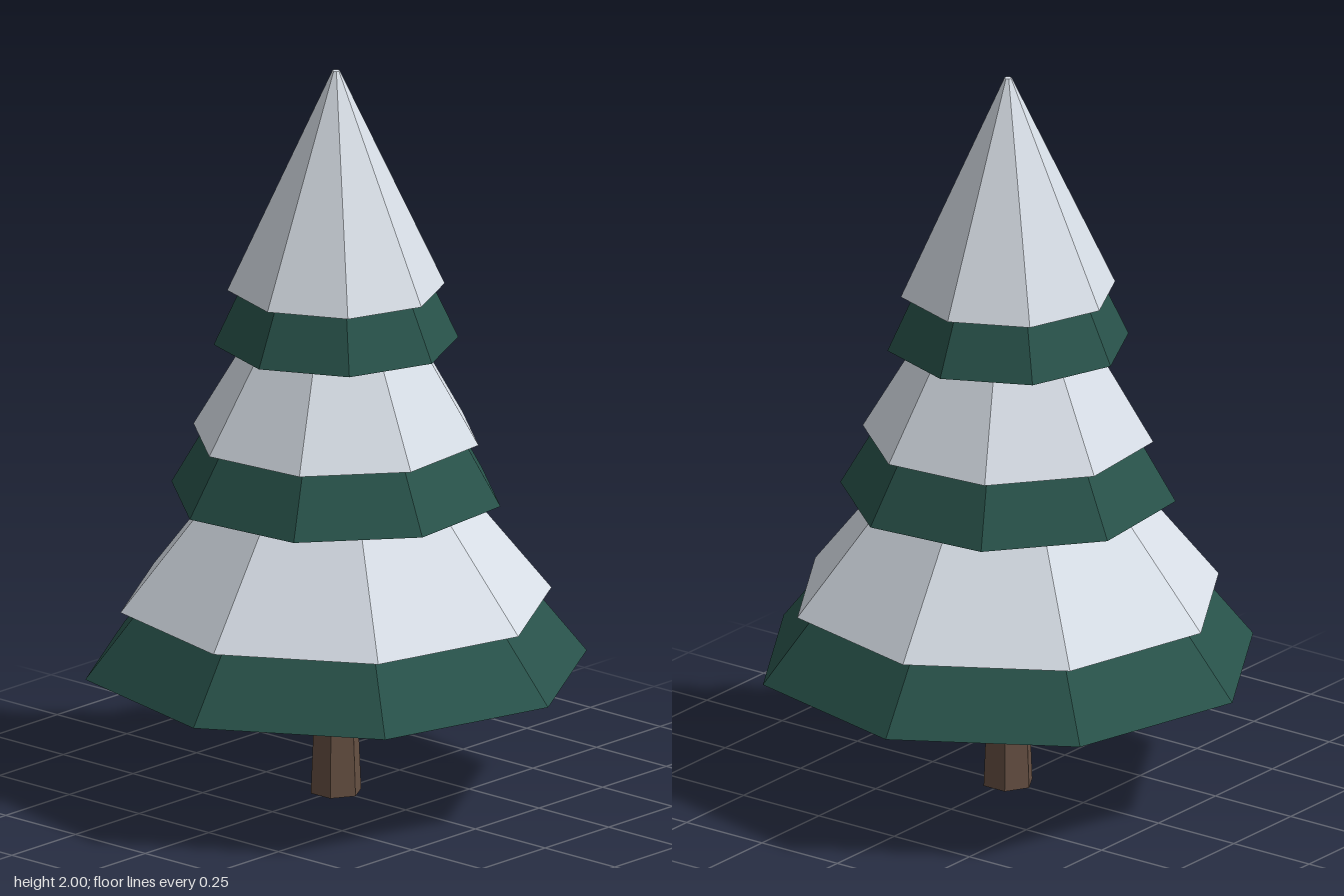
import * as THREE from 'three';

export function createModel() {
  const tree = new THREE.Group();
  tree.name = 'snowyPineTree';

  const material = (name, color) => {
    const m = new THREE.MeshStandardMaterial({ color, flatShading: true });
    m.name = name;
    return m;
  };
  const bark = material('bark', 0x654f42);
  const needles = material('needles', 0x28524a);
  const snow = material('snow', 0xe6edf6);

  // Faceted frustum standing between two heights
  const addFrustum = (name, mat, sides, r0, y0, r1, y1, turn = 0) => {
    const geometry = new THREE.CylinderGeometry(r1, r0, y1 - y0, sides);
    geometry.rotateY(turn);
    const mesh = new THREE.Mesh(geometry, mat);
    mesh.name = name;
    mesh.position.y = (y0 + y1) / 2;
    tree.add(mesh);
  };

  addFrustum('trunk', bark, 6, 0.07, 0, 0.055, 0.36);

  // Each tier: a green cone under a slightly wider snow cap
  const tiers = [
    { name: 'lower', turn: 0.148, r: 0.677, y: 0.35, top: 1.2, snowR: 0.582, snowY: 0.53, snowTop: 1.245 },
    { name: 'middle', turn: 0.488, r: 0.45, y: 0.825, top: 1.6, snowR: 0.39, snowY: 0.99, snowTop: 1.635 },
    { name: 'upper', turn: 0.063, r: 0.326, y: 1.25, top: 1.94, snowR: 0.29, snowY: 1.4, snowTop: 2 },
  ];
  for (const t of tiers) {
    addFrustum(t.name + 'Branches', needles, 8, t.r, t.y, 0.005, t.top, t.turn);
    addFrustum(t.name + 'Snow', snow, 8, t.snowR, t.snowY, 0.01, t.snowTop, t.turn);
  }

  return tree;
}
